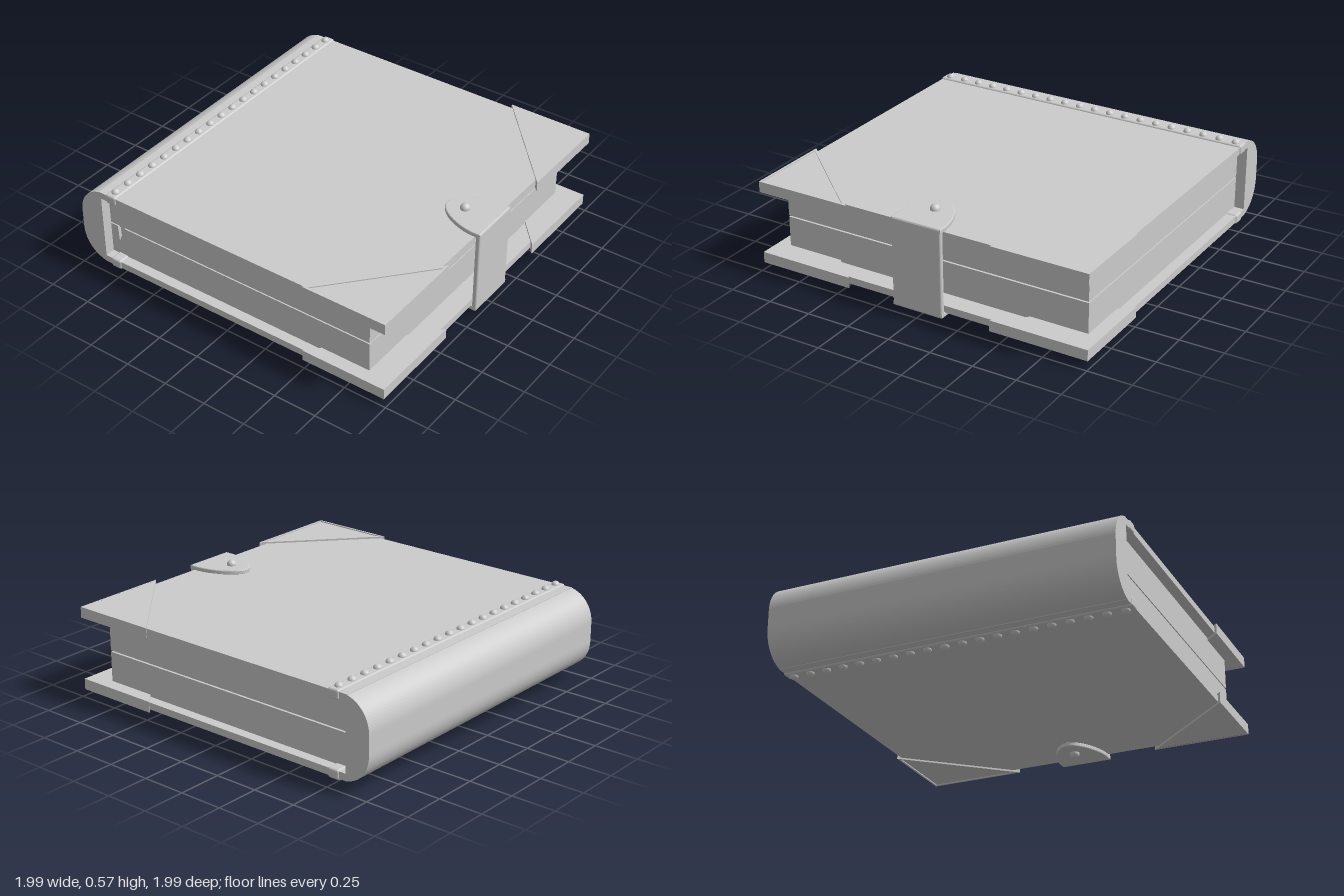
import * as THREE from 'three';
import { RoundedBoxGeometry } from 'three/addons/geometries/RoundedBoxGeometry.js';

const MID = 0.285; // height of the book's middle plane
const mat = new THREE.MeshStandardMaterial({ color: 0xcccccc });

function add(parent, name, geometry, x = 0, y = 0, z = 0) {
  const mesh = new THREE.Mesh(geometry, mat);
  mesh.name = name;
  mesh.position.set(x, y, z);
  parent.add(mesh);
  return mesh;
}

// Box given by its limits in x and y, centred on z
function slab(parent, name, x0, x1, y0, y1, depth) {
  return add(parent, name, new THREE.BoxGeometry(x1 - x0, y1 - y0, depth), (x0 + x1) / 2, (y0 + y1) / 2, 0);
}

const polygon = (pts) => new THREE.Shape(pts.map(([x, y]) => new THREE.Vector2(x, y)));

// Flat plate from an outline in (x, -z), rising from y0 to y1
function plate(shape, y0, y1, bevel = 0) {
  const geo = new THREE.ExtrudeGeometry(shape, {
    depth: y1 - y0 - 2 * bevel, curveSegments: 16, bevelEnabled: bevel > 0,
    bevelSize: bevel, bevelThickness: bevel, bevelOffset: -bevel, bevelSegments: 2,
  });
  return geo.rotateX(-Math.PI / 2).translate(0, y0 + bevel, 0);
}

// Triangular metal corner with a thin raised rim; s picks the front or back end
function coverCorner(s) {
  const group = new THREE.Group();
  group.name = 'coverCorner';
  const outline = [[0.485, -s * 0.995], [0.985, -s * 0.995], [0.985, -s * 0.43]];
  const inner = [[0.515, -s * 0.983], [0.973, -s * 0.983], [0.973, -s * 0.465]];
  add(group, 'cornerPlate', plate(polygon(outline), 0.178, 0.234));
  const rim = polygon(outline);
  rim.holes.push(polygon(inner));
  add(group, 'cornerRim', plate(rim, 0.232, 0.24));
  return group;
}

// Rounded tongue of the clasp lying on a cover
function claspTongue() {
  const s = new THREE.Shape();
  s.moveTo(0.988, -0.15);
  s.lineTo(0.93, -0.15);
  s.bezierCurveTo(0.82, -0.14, 0.693, -0.07, 0.693, 0);
  s.bezierCurveTo(0.693, 0.07, 0.82, 0.14, 0.93, 0.15);
  s.lineTo(0.988, 0.15);
  s.closePath();
  return plate(s, 0.226, 0.254, 0.006);
}

// Everything on one cover, relative to the middle plane
function coverSide(name) {
  const side = new THREE.Group();
  side.name = name;
  slab(side, 'cover', -0.86, 0.957, 0.19, 0.23, 1.956);

  // Hinge band with its row of rivets
  add(side, 'hingeBand', new RoundedBoxGeometry(0.068, 0.056, 1.97, 2, 0.012), -0.775, 0.212, 0);
  const rivet = new THREE.SphereGeometry(0.024, 16, 10);
  for (let i = 0; i < 20; i++) {
    add(side, 'hingeRivet', rivet, -0.775, 0.237, -0.9375 + i * 0.0987);
  }

  side.add(coverCorner(1), coverCorner(-1));

  add(side, 'claspTongue', claspTongue());
  add(side, 'claspRivet', new THREE.SphereGeometry(0.028, 20, 12), 0.805, 0.257, 0);
  return side;
}

export function createModel() {
  const model = new THREE.Group();
  model.name = 'book';
  const book = new THREE.Group();
  book.name = 'bookBody';
  book.position.y = MID;
  model.add(book);

  // Rounded spine
  const spine = new THREE.Shape();
  spine.moveTo(-0.848, -0.23);
  spine.lineTo(-0.848, 0.23);
  spine.bezierCurveTo(-0.94, 0.215, -0.995, 0.14, -0.995, 0.055);
  spine.lineTo(-0.995, -0.055);
  spine.bezierCurveTo(-0.995, -0.14, -0.94, -0.215, -0.848, -0.23);
  const spineGeo = new THREE.ExtrudeGeometry(spine, { depth: 1.956, bevelEnabled: false, curveSegments: 16 });
  add(book, 'spine', spineGeo.translate(0, 0, -0.978));

  // Pages in two stacks, with a groove between them
  slab(book, 'pageCore', -0.85, 0.825, -0.02, 0.02, 1.81);
  slab(book, 'upperPages', -0.85, 0.845, 0.002, 0.192, 1.84);
  slab(book, 'lowerPages', -0.85, 0.845, -0.192, -0.006, 1.8);
  // Outer page edges; the front one has a small notch beside the spine
  for (const s of [1, -1]) {
    const pts = [[-0.85, -0.192], [0.845, -0.192], [0.845, -0.006]];
    if (s > 0) pts.push([-0.755, -0.006], [-0.795, -0.105], [-0.8, -0.006]);
    pts.push([-0.85, -0.006]);
    const edge = new THREE.ExtrudeGeometry(polygon(pts), { depth: 0.02, bevelEnabled: false });
    add(book, 'lowerPageEdge', edge, 0, 0, s > 0 ? 0.9 : -0.92);
  }

  // Upper side, and the same turned over for the lower side
  book.add(coverSide('upperSide'));
  const lower = coverSide('lowerSide');
  lower.rotation.x = Math.PI;
  book.add(lower);

  // Clasp strap across the fore-edge
  add(book, 'claspStrap', new RoundedBoxGeometry(0.028, 0.506, 0.3, 3, 0.01), 0.976, 0, 0);

  return model;
}
